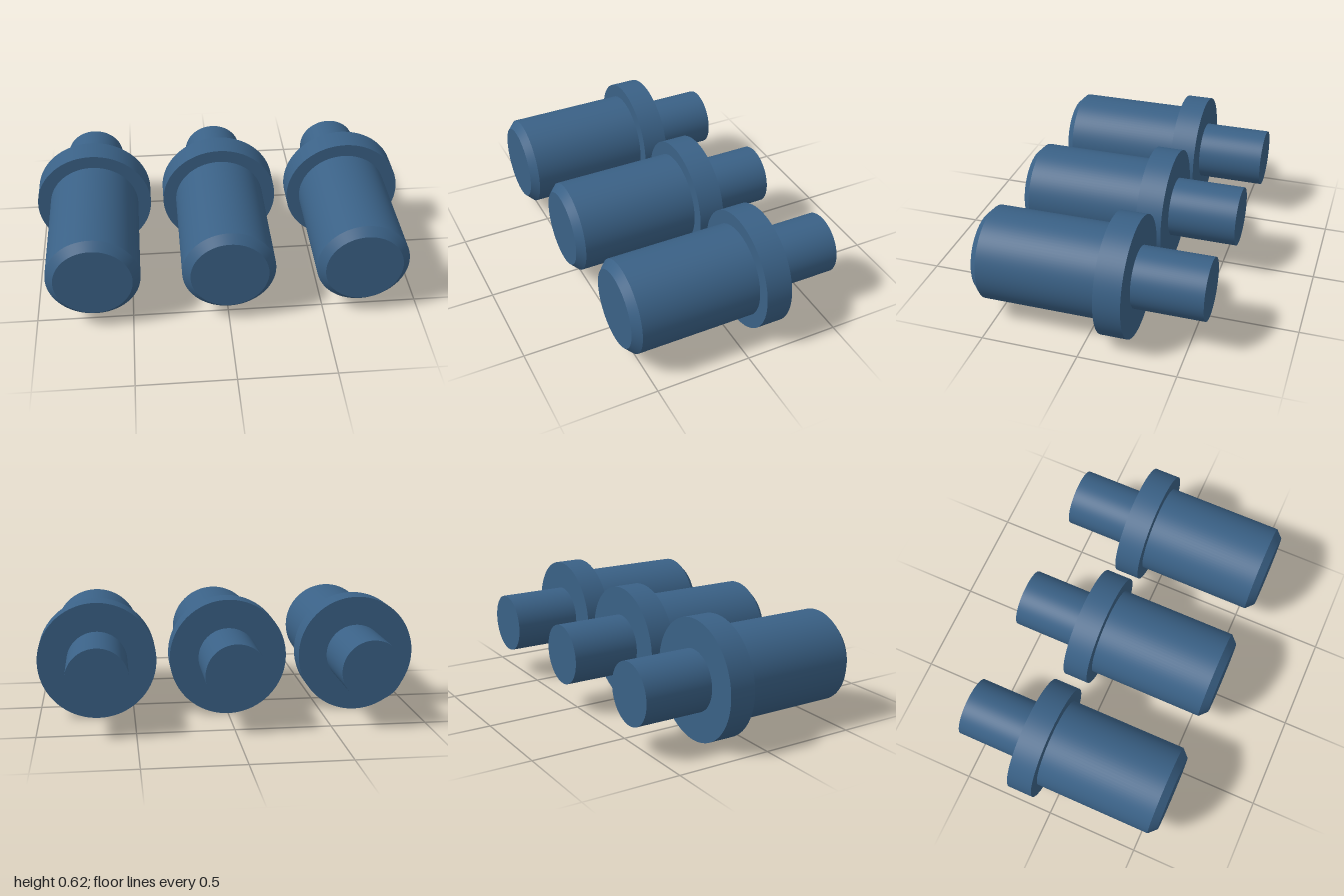
import * as THREE from 'three';

const SEGMENTS = 96;
const AXIS_HEIGHT = 0.31;
const SPACING = 0.69;

export function createModel() {
  const blueSteel = new THREE.MeshStandardMaterial({ color: 0x3a6186 });
  blueSteel.name = 'blueSteel';

  // A round section along z, from its back end to its front end
  function section(name, zBack, zFront, rBack, rFront = rBack) {
    const geometry = new THREE.CylinderGeometry(rFront, rBack, zFront - zBack, SEGMENTS);
    geometry.rotateX(Math.PI / 2);
    geometry.translate(0, 0, (zBack + zFront) / 2);
    const mesh = new THREE.Mesh(geometry, blueSteel);
    mesh.name = name;
    return mesh;
  }

  // One stepped pin: thin shank, collar, thick body and chamfered nose
  function createPin() {
    const pin = new THREE.Group();
    pin.add(
      section('shank', -0.583, -0.222, 0.158),
      section('collar', -0.222, -0.085, 0.31),
      section('body', -0.085, 0.543, 0.24),
      section('chamferedNose', 0.543, 0.583, 0.24, 0.2)
    );
    return pin;
  }

  // Three identical pins side by side
  const model = new THREE.Group();
  model.name = 'steppedPins';
  ['rightPin', 'middlePin', 'leftPin'].forEach((name, i) => {
    const pin = createPin();
    pin.name = name;
    pin.position.set((i - 1) * SPACING, AXIS_HEIGHT, 0);
    model.add(pin);
  });
  return model;
}
